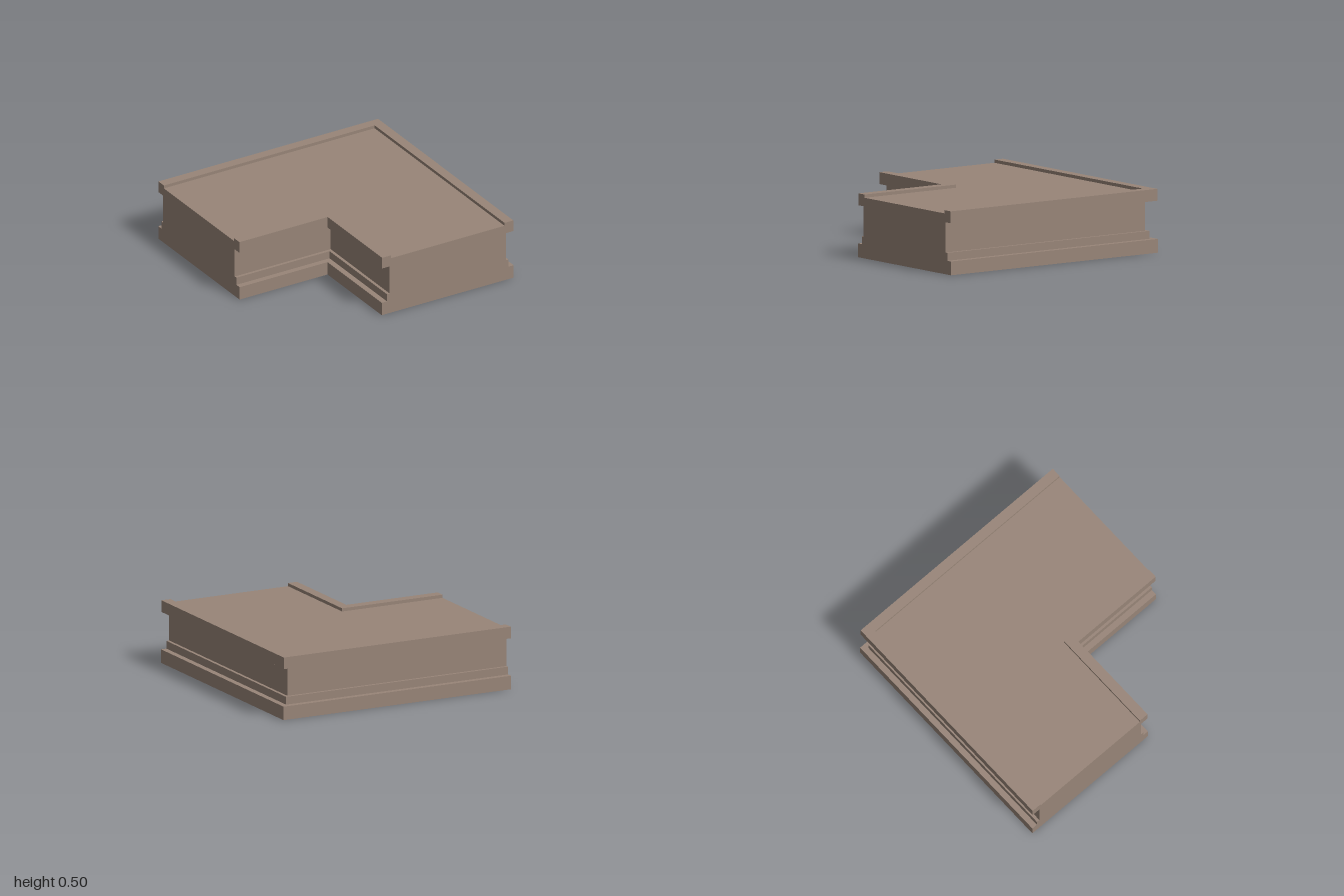
import * as THREE from 'three';

// Wall moulding: [inset from the outline, height], from the ground up to the deck
const PROFILE = [
  [0, 0], [0, 0.108], [0.047, 0.108], [0.047, 0.17], [0.072, 0.17],
  [0.072, 0.407], [0.003, 0.407], [0.003, 0.5], [0.083, 0.5], [0.083, 0.475],
];
const DECK_Y = 0.475, LIP = 0.083;

// Mitred paths [x, z] of the two moulded walls at a given inset
const outerPath = d => [[-1, -1 + d], [1 - d, -1 + d], [1 - d, 1]];
const notchPath = d => [[-0.2 + d, 1], [-0.2 + d, 0.2 - d], [-1, 0.2 - d]];

// Sweep the moulding along a path
function sweep(path) {
  const rows = PROFILE.map(([d, y]) => path(d).map(([x, z]) => [x, y, z]));
  const pos = [];
  for (let j = 0; j < rows.length - 1; j++) {
    for (let i = 0; i < 2; i++) {
      const a = rows[j][i], b = rows[j][i + 1];
      const c = rows[j + 1][i + 1], d = rows[j + 1][i];
      pos.push(...a, ...d, ...c, ...a, ...c, ...b);
    }
  }
  const g = new THREE.BufferGeometry();
  g.setAttribute('position', new THREE.Float32BufferAttribute(pos, 3));
  g.computeVertexNormals();
  return g;
}

const shapeOf = pts => new THREE.Shape(pts.map(([x, y]) => new THREE.Vector2(x, y)));

export function createModel() {
  const group = new THREE.Group();
  const stone = new THREE.MeshStandardMaterial({ color: 0x988578, side: THREE.DoubleSide });
  stone.name = 'stone';
  stone.flatShading = true;

  const add = (name, geometry) => {
    const mesh = new THREE.Mesh(geometry, stone);
    mesh.name = name;
    group.add(mesh);
    return mesh;
  };

  // Moulded walls
  add('outerWall', sweep(outerPath));
  add('notchWall', sweep(notchPath));

  // Recessed L-shaped deck
  const deckPts = [...outerPath(LIP), ...notchPath(LIP)].map(([x, z]) => [x, -z]);
  const deck = new THREE.ShapeGeometry(shapeOf(deckPts.reverse()));
  deck.rotateX(-Math.PI / 2);
  deck.translate(0, DECK_Y, 0);
  add('deck', deck);

  // End walls cut to the moulding on both edges; the underside stays open
  const right = PROFILE.map(([d, y]) => [0.6 - d, y]);
  const left = PROFILE.map(([d, y]) => [-0.6 + d, y]).reverse();
  const endShape = shapeOf([...right, ...left]);
  add('frontEnd', new THREE.ShapeGeometry(endShape)).position.set(0.4, 0, 1);
  const side = add('sideEnd', new THREE.ShapeGeometry(endShape));
  side.rotation.y = -Math.PI / 2;
  side.position.set(-1, 0, -0.4);

  return group;
}
